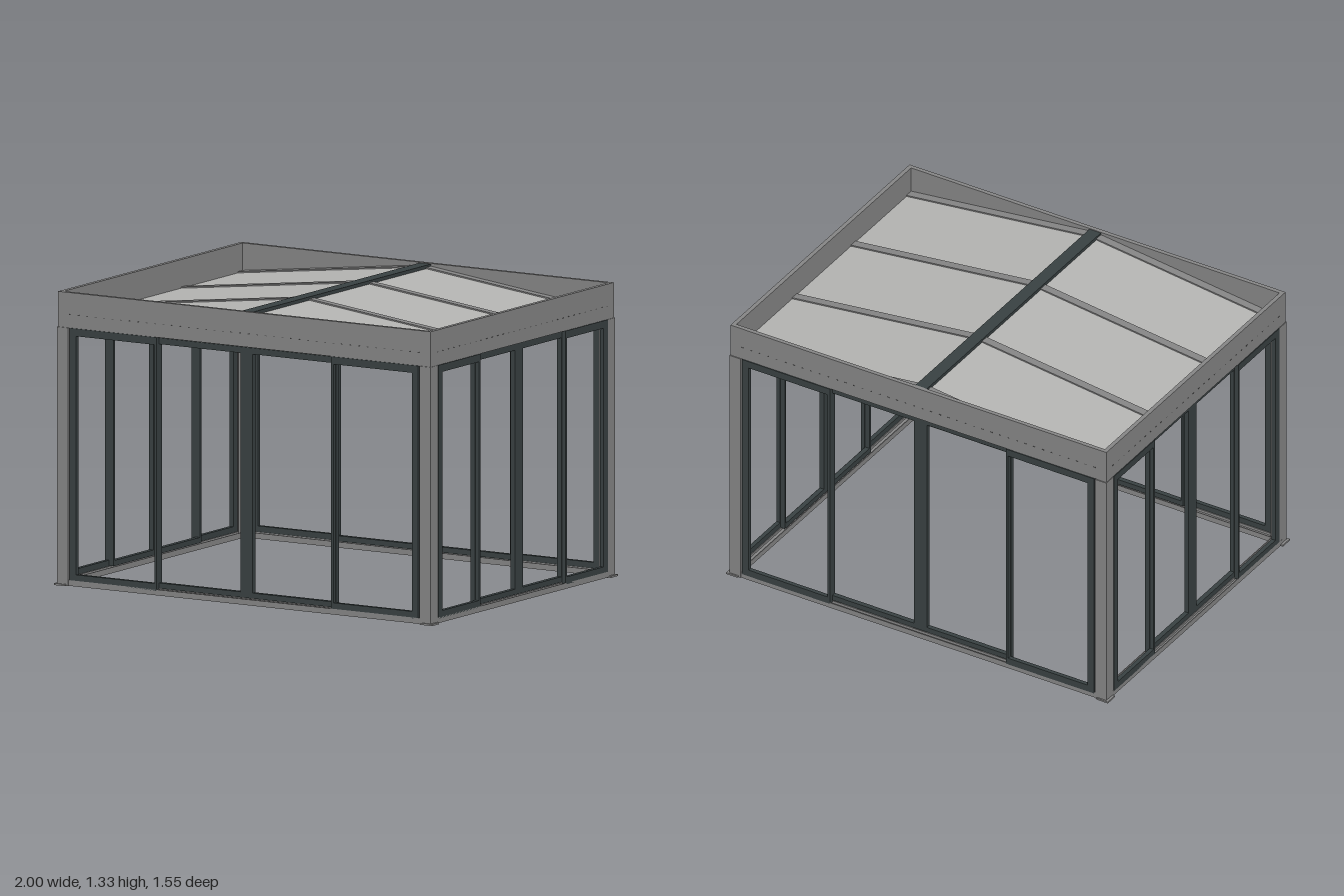
import * as THREE from 'three';
import { mergeGeometries } from 'three/addons/utils/BufferGeometryUtils.js';

const material = (name, color) => {
  const m = new THREE.MeshStandardMaterial({ color });
  m.name = name;
  return m;
};

// Box given by its limits on each axis
function span(x0, x1, y0, y1, z0, z1) {
  return new THREE.BoxGeometry(x1 - x0, y1 - y0, z1 - z0)
    .translate((x0 + x1) / 2, (y0 + y1) / 2, (z0 + z1) / 2);
}

function part(parent, name, geometries, mat) {
  const mesh = new THREE.Mesh(mergeGeometries(geometries), mat);
  mesh.name = name;
  parent.add(mesh);
  return mesh;
}

export function createModel() {
  const grey = material('frame grey', 0x848484);
  const dark = material('door anthracite', 0x384041);
  const pane = material('roof pane grey', 0xb3b3b1);
  const slot = material('slot dark grey', 0x484848);

  const X = 0.985, Z = 0.763;          // outer faces of the fascia
  const TOP = 1.33, LINTEL = 1.17;
  const model = new THREE.Group();
  model.name = 'gardenPavilion';

  // Fascia ring standing above the roof edge
  const t = 0.02;
  const fascia = [];
  for (const s of [-1, 1]) {
    const zc = s * (Z - t / 2), xc = s * (X - t / 2);
    fascia.push(span(-X, X, LINTEL, TOP, zc - t / 2, zc + t / 2));
    fascia.push(span(xc - t / 2, xc + t / 2, LINTEL, TOP, -Z + t, Z - t));
  }
  part(model, 'fascia', fascia, grey);

  // Fluted L-shaped corner posts with foot plates
  const section = new THREE.Shape([
    [0, 0], [-0.06, 0], [-0.06, 0.014], [-0.052, 0.014], [-0.052, 0.024], [-0.06, 0.024],
    [-0.06, 0.04], [-0.048, 0.04], [-0.048, 0.048], [-0.04, 0.048], [-0.04, 0.06],
    [-0.024, 0.06], [-0.024, 0.052], [-0.014, 0.052], [-0.014, 0.06], [0, 0.06],
  ].map(([x, y]) => new THREE.Vector2(x, y)));
  const postGeometry = new THREE.ExtrudeGeometry(section, { depth: LINTEL, bevelEnabled: false })
    .rotateX(-Math.PI / 2).translate(0.988, 0, 0.768);
  for (const sx of [-1, 1]) for (const sz of [-1, 1]) {
    const corner = new THREE.Group();
    corner.name = 'cornerPost';
    corner.scale.set(sx, 1, sz);
    part(corner, 'post', [postGeometry], grey);
    part(corner, 'footPlate', [
      span(0.94, 1, 0, 0.008, 0.745, 0.775),
      span(0.97, 1, 0, 0.008, 0.715, 0.745),
    ], grey);
    model.add(corner);
  }

  // One glazed wall: half opening, distance of its outer face, position of the thin stile
  function wall(name, half, face, meet, angle) {
    const g = new THREE.Group();
    g.name = name;
    g.rotation.y = angle;
    const outer = [face - 0.02, face], inner = [face - 0.045, face - 0.022];
    const outerDoor = [], innerDoor = [];
    for (const s of [-1, 1]) {
      const add = (list, a, b, y0, y1, z) =>
        list.push(span(Math.min(s * a, s * b), Math.max(s * a, s * b), y0, y1, z[0], z[1]));
      // Outer sliding door
      add(outerDoor, half - 0.034, half, 0.022, 1.17, outer);
      add(outerDoor, meet - 0.006, meet + 0.006, 0.022, 1.17, outer);
      add(outerDoor, meet, half, 1.136, 1.17, outer);
      add(outerDoor, meet, half, 0.022, 0.055, outer);
      // Inner sliding door
      add(innerDoor, 0, 0.033, 0.03, 1.165, inner);
      add(innerDoor, meet - 0.005, meet + 0.007, 0.03, 1.165, inner);
      add(innerDoor, 0, meet, 1.137, 1.165, inner);
      add(innerDoor, 0, meet, 0.03, 0.055, inner);
    }
    part(g, 'outerDoors', outerDoor, dark);
    part(g, 'innerDoors', innerDoor, dark);

    // Bottom track with raised runners
    const track = [span(-half - 0.02, half + 0.02, 0.002, 0.016, face - 0.05, face)];
    for (const d of [0.05, 0.024, 0.004])
      track.push(span(-half - 0.02, half + 0.02, 0.016, 0.028, face - d, face - d + 0.004));
    part(g, 'bottomTrack', track, grey);

    // Top track and gutter behind the fascia
    part(g, 'topTrack', [
      span(-half - 0.03, half + 0.03, 1.166, 1.185, face - 0.055, face - 0.022),
    ], grey);

    // Row of tiny drain slots on the fascia
    const slots = [];
    const count = Math.round(half * 2 / 0.045);
    const skin = face - 0.004;
    for (let i = 0; i <= count; i++) {
      const x = -half + (2 * half * i) / count;
      slots.push(span(x - 0.005, x + 0.005, 1.229, 1.232, skin - 0.002, skin + 0.001));
    }
    part(g, 'drainSlots', slots, slot);
    model.add(g);
  }
  wall('frontWall', 0.922, Z + 0.004, 0.467, 0);
  wall('backWall', 0.922, Z + 0.004, 0.467, Math.PI);
  wall('leftWall', 0.705, X + 0.004, 0.36, Math.PI / 2);
  wall('rightWall', 0.705, X + 0.004, 0.36, -Math.PI / 2);

  // Pitched roof: panes and rafters fall from the ridge to both sides
  const run = 0.965, ridgeY = 1.31, eaveY = 1.195;
  const pitch = Math.atan2(ridgeY - eaveY, run);
  for (const s of [-1, 1]) {
    const slope = new THREE.Group();
    slope.name = s > 0 ? 'leftRoofSlope' : 'rightRoofSlope';
    slope.position.set(s * run / 2, (ridgeY + eaveY) / 2, 0);
    slope.rotation.z = -s * pitch;
    const length = run / Math.cos(pitch), h = length / 2;
    part(slope, 'roofPanes', [span(-h, h, -0.005, 0.005, -0.742, 0.742)], pane);
    part(slope, 'rafters', [-0.723, -0.25, 0.25, 0.723].map(
      (z) => span(-h, h, -0.02, 0.011, z - 0.02, z + 0.02)), grey);
    model.add(slope);
  }

  // Ridge beam
  part(model, 'ridgeBeam', [span(-0.03, 0.03, 1.275, 1.327, -0.744, 0.744)], dark);

  return model;
}
